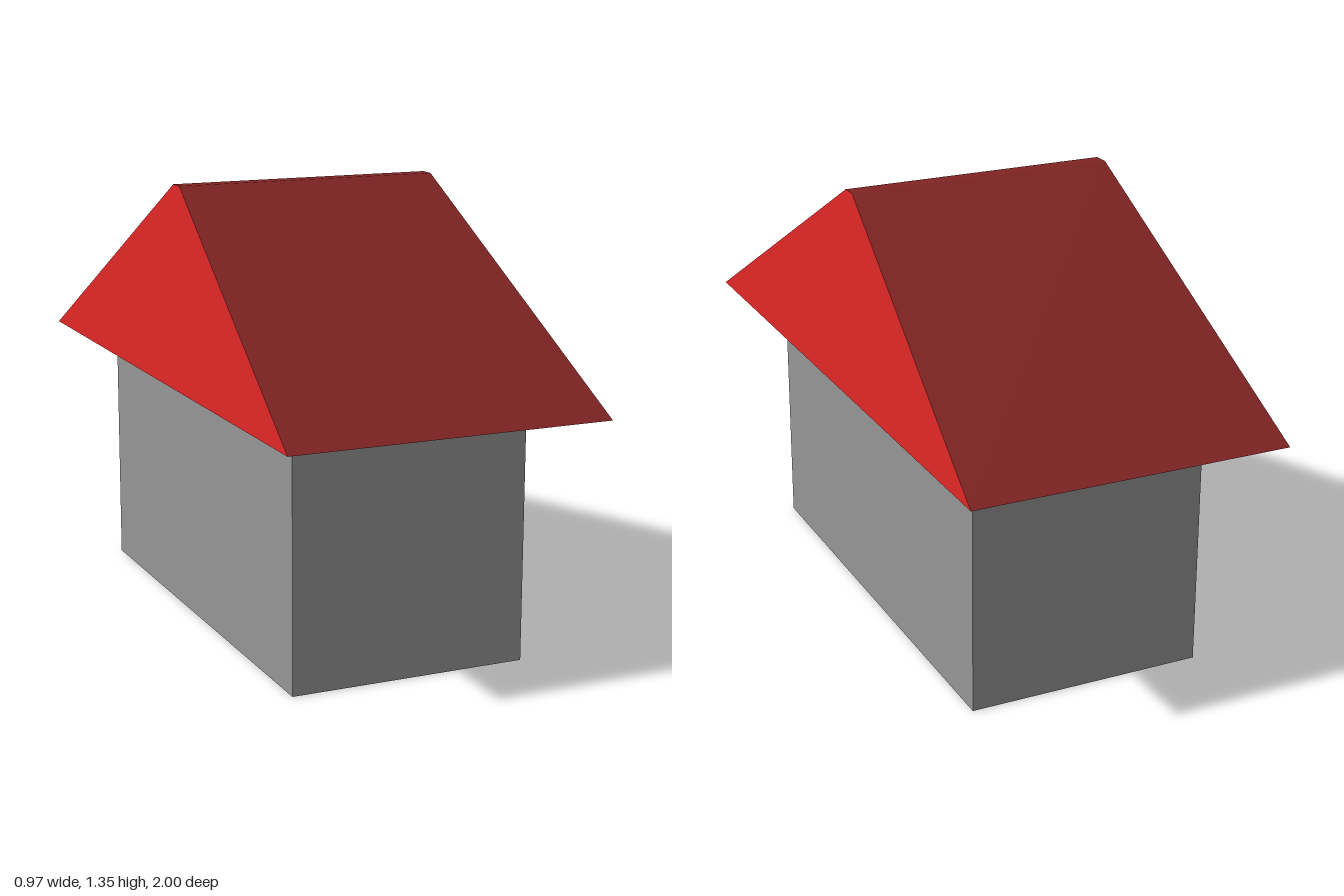
import * as THREE from 'three';

// Box whose lower and upper rectangles have different half sizes [x, z]
function taperedBox(y0, y1, [bx, bz], [tx, tz]) {
  const geometry = new THREE.BoxGeometry(2, 2, 2);
  const p = geometry.attributes.position;
  for (let i = 0; i < p.count; i++) {
    const top = p.getY(i) > 0;
    p.setXYZ(i, p.getX(i) * (top ? tx : bx), top ? y1 : y0, p.getZ(i) * (top ? tz : bz));
  }
  geometry.computeVertexNormals();
  return geometry;
}

function material(name, color) {
  const m = new THREE.MeshStandardMaterial({ color });
  m.name = name;
  return m;
}

export function createModel() {
  const wall = material('wall grey', 0x969696);
  const gable = material('gable red', 0xd92525);
  const tile = material('roof dark red', 0x802323);

  const model = new THREE.Group();
  model.name = 'house';
  const add = (name, geometry, mat) => {
    const mesh = new THREE.Mesh(geometry, mat);
    mesh.name = name;
    model.add(mesh);
  };

  const wallSize = [0.363, 0.742];
  const eaveSize = [0.487, 1];
  const ridgeSize = [0.415, 0.025];

  add('walls', taperedBox(0, 0.727, wallSize, wallSize), wall);

  // Sloping underside of the overhang
  add('eaves', taperedBox(0.727, 0.767, wallSize, eaveSize), tile);

  // Bright gables on the two x sides, dark slopes and narrow flat ridge
  add('roof', taperedBox(0.767, 1.347, eaveSize, ridgeSize),
    [gable, gable, tile, tile, tile, tile]);

  return model;
}
